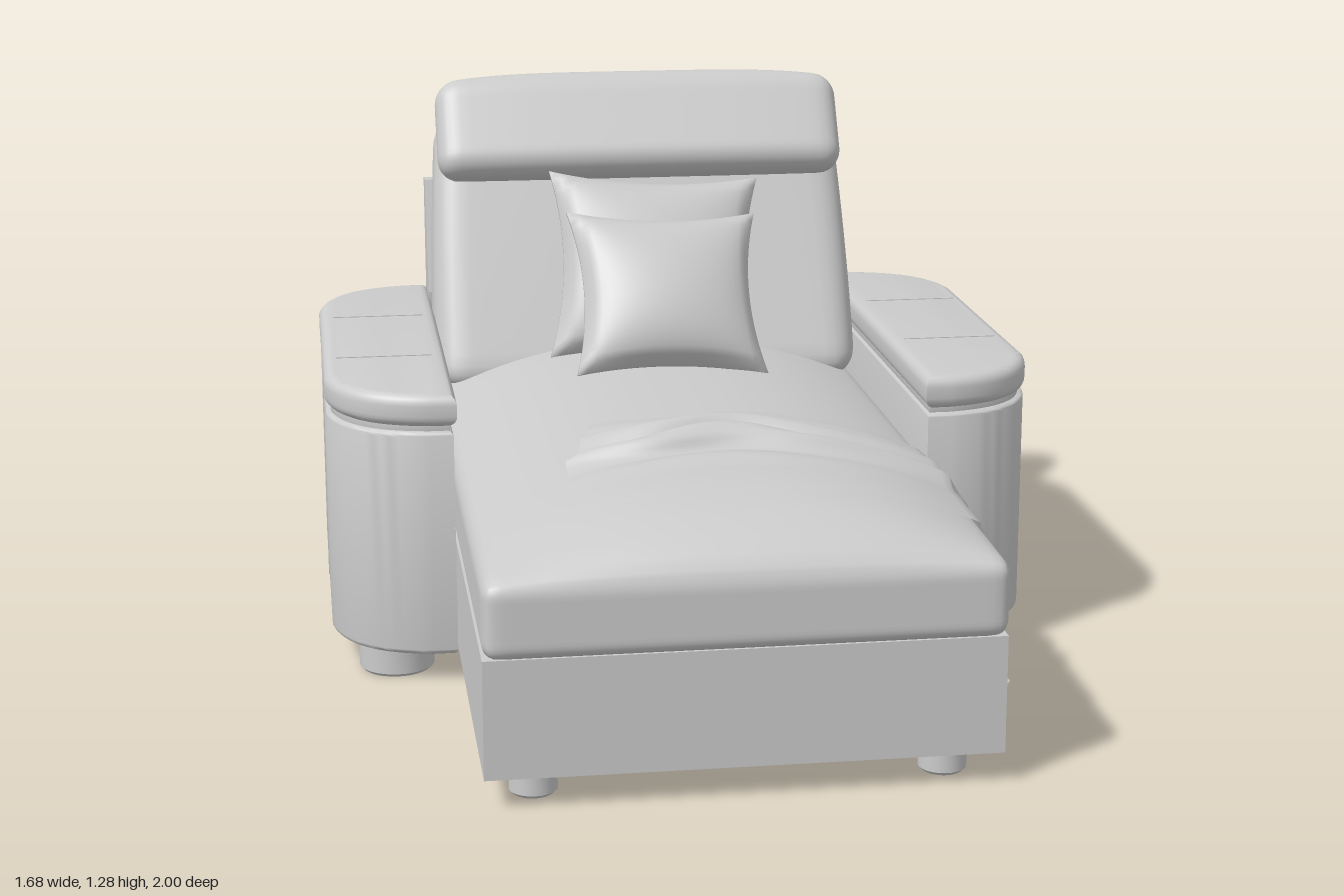
import * as THREE from 'three';
import { mergeVertices, toCreasedNormals } from 'three/addons/utils/BufferGeometryUtils.js';

const mat = new THREE.MeshStandardMaterial({ color: 0xcccccc });
const matTwoSided = new THREE.MeshStandardMaterial({ color: 0xcccccc, side: THREE.DoubleSide });
const { lerp, clamp, smoothstep } = THREE.MathUtils;
const gauss = (x, c, w) => Math.exp(-(((x - c) / w) ** 2));

// Crowned height of the seat cushion's upper face
function seatTop(x, z) {
  const u = Math.min(1, Math.abs(x) / 0.55), v = Math.min(1, Math.abs(z - 0.07) / 0.93);
  return 0.5 + 0.12 * (1 - u ** 2.5) * (1 - v ** 10);
}

function add(parent, name, geo, x = 0, y = 0, z = 0, material = mat) {
  const mesh = new THREE.Mesh(geo, material);
  mesh.name = name;
  mesh.position.set(x, y, z);
  parent.add(mesh);
  return mesh;
}

// Move each vertex by a rule, then weld for smooth normals
function reshape(geo, rule) {
  geo.deleteAttribute('normal');
  geo.deleteAttribute('uv');
  const pos = geo.attributes.position, p = new THREE.Vector3();
  for (let i = 0; i < pos.count; i++) {
    rule(p.fromBufferAttribute(pos, i));
    pos.setXYZ(i, p.x, p.y, p.z);
  }
  const welded = mergeVertices(geo, 1e-5);
  welded.computeVertexNormals();
  return welded;
}

// Soft rounded block, denser towards its edges, with an optional further rule
function cushion(w, h, d, r, warp = () => {}) {
  const half = new THREE.Vector3(w / 2, h / 2, d / 2);
  const inner = half.clone().subScalar(r), core = new THREE.Vector3();
  return reshape(new THREE.BoxGeometry(2, 2, 2, 32, 24, 24), p => {
    for (const a of ['x', 'y', 'z']) p[a] = Math.sin(p[a] * Math.PI / 2) * half[a];
    core.copy(p).clamp(inner.clone().negate(), inner);
    p.sub(core).setLength(r).add(core);
    warp(p);
  });
}

// Square pillow with pinched seams and flared corners
function pillow(w, h, t) {
  return reshape(new THREE.BoxGeometry(2, 2, 2, 24, 24, 1), p => {
    const u = p.x, v = p.y, puff = ((1 - u * u) * (1 - v * v)) ** 0.45;
    p.x = u * w / 2 * (1 - 0.13 * (1 - v * v));
    p.y = v * h / 2 * (1 - 0.11 * (1 - u * u));
    p.z *= 0.004 + puff * t / 2 * (1 - 0.15 * v);
  });
}

// Horizontal slab on side s, with rounded outer corners and bevelled rims
function armSlab(s, x0, x1, z0, z1, r, y0, y1, bevel) {
  x0 += bevel; x1 -= bevel; z0 += bevel; z1 -= bevel; r -= bevel;
  const shape = new THREE.Shape();
  shape.moveTo(s * x0, -z0);
  shape.lineTo(s * (x1 - r), -z0);
  shape.quadraticCurveTo(s * (x1 - r * 0.12), -z0 - r * 0.12, s * x1, -z0 - r);
  shape.lineTo(s * x1, -z1 + r);
  shape.quadraticCurveTo(s * (x1 - r * 0.12), -z1 + r * 0.12, s * (x1 - r), -z1);
  shape.lineTo(s * x0, -z1);
  const geo = new THREE.ExtrudeGeometry(shape, {
    depth: y1 - y0 - 2 * bevel, bevelSize: bevel, bevelThickness: bevel, bevelSegments: 5, curveSegments: 16,
  });
  geo.rotateX(-Math.PI / 2).translate(0, y0 + bevel, 0);
  return toCreasedNormals(geo, 0.7);
}

// Cloth laid across the seat and hung over its side to the floor
function blanketGeometry() {
  const n = 90, m = 90, pts = [], idx = [];
  for (let i = 0; i <= n; i++) {
    for (let j = 0; j <= m; j++) {
      const a = i / n, w = j / m, split = 0.5;
      const h = clamp((a - split) / (1 - split), 0, 1), t = Math.min(1, a / split);
      // Upper part follows the seat, bunched towards the rear half
      const zTop = lerp(0.21 + 0.05 * Math.sin(t * 7) ** 2 * (1 - t), 0.82 - 0.03 * t, w);
      const start = w > 0.52 ? -0.33 : -0.24 - 0.07 * w / 0.52;
      const x = lerp(start, 0.53, t);
      const bunch = gauss(w, 0.36, 0.2);
      const crease = Math.abs(Math.sin(w * 15 + Math.sin(t * 5) * 0.9 + t)) ** 1.5;
      const wrinkle = 0.012 + bunch * crease * (0.022 + 0.035 * gauss(x, 0, 0.2)) + 0.012 * gauss(w, 0.5, 0.03);
      const y0 = seatTop(x, zTop) + wrinkle;
      if (h === 0) { pts.push(x, y0, zTop); continue; }
      // Hanging part flares out in folds, then spreads on the floor
      const fall = Math.min(1, h / 0.9), spread = Math.max(0, h - 0.9) / 0.1;
      const fold = 0.5 + 0.5 * Math.sin(w * 30 + Math.sin(w * 6) * 1.6 + h * 0.6);
      const flare = 0.085 * (1 - w) ** 0.6 * fall ** 1.3 + 0.05 * spread * (1 - w);
      const depth = (0.018 + 0.045 * gauss(w, 0.42, 0.18)) * smoothstep(h, 0, 0.35);
      pts.push(
        0.53 + 0.03 * Math.min(1, h * 8) + flare + depth * fold,
        lerp(y0, 0.012 + 0.012 * fold * (1 - spread), fall),
        zTop + fall * lerp(-0.01, -0.1, w) + 0.02 * Math.sin(w * 30) * w * (1 - w) * fall,
      );
    }
  }
  for (let i = 0; i < n; i++) {
    for (let j = 0; j < m; j++) {
      const k = i * (m + 1) + j, l = k + m + 1;
      idx.push(k, k + 1, l, k + 1, l + 1, l);
    }
  }
  const geo = new THREE.BufferGeometry();
  geo.setAttribute('position', new THREE.Float32BufferAttribute(pts, 3));
  geo.setIndex(idx);
  geo.computeVertexNormals();
  return geo;
}

// Short round foot with softened rims
function foot(r) {
  const p = [[0, 0], [r - 0.008, 0], [r, 0.008], [r, 0.068], [r - 0.005, 0.075], [0, 0.075]];
  return toCreasedNormals(new THREE.LatheGeometry(p.map(q => new THREE.Vector2(...q)), 32), 0.6);
}

export function createModel() {
  const model = new THREE.Group();
  model.name = 'chaiseArmchair';

  // Base and seat
  add(model, 'base', new THREE.BoxGeometry(1.1, 0.26, 1.93), 0, 0.2, 0.01);
  add(model, 'seatCushion', cushion(1.1, 0.17, 1.86, 0.035, p => {
    const t = clamp((p.y + 0.085) / 0.17, 0, 1);
    p.y += (seatTop(p.x, p.z + 0.07) - 0.5) * t * t;
  }), 0, 0.415, 0.07);

  // Upright back panel with a sloping front
  const side = new THREE.Shape([[-1, 0.07], [-0.86, 0.07], [-0.86, 0.7], [-0.945, 0.985], [-0.99, 0.985], [-1, 0.975]]
    .map(q => new THREE.Vector2(...q)));
  const panel = new THREE.ExtrudeGeometry(side, { depth: 1.1, bevelEnabled: false });
  add(model, 'backPanel', panel.rotateY(-Math.PI / 2).translate(0.55, 0, 0));

  // Leaning back cushion, thinner and narrower at the top
  add(model, 'backCushion', cushion(1.1, 0.66, 0.2, 0.075, p => {
    const t = (p.y + 0.33) / 0.66;
    p.z = p.z * lerp(1.4, 0.75, t) + lerp(-0.66, -0.89, t);
    p.x *= lerp(1, 0.95, t * t);
    p.y += 0.02 * t * (1 - (p.x / 0.55) ** 2);
  }), 0, 0.83, 0);

  // Bolster headrest
  const headrest = add(model, 'headrest', cushion(1.05, 0.26, 0.12, 0.055, p => {
    const k = 1 - (p.x / 0.525) ** 4;
    p.y += 0.025 * k * clamp(p.y / 0.13, 0, 1);
    p.z *= 1 + 0.12 * k;
  }), 0, 1.135, -0.785);
  headrest.rotation.x = -0.55;

  // Loose pillows
  const front = add(model, 'frontPillow', pillow(0.48, 0.43, 0.17), 0.015, 0.79, -0.35);
  front.rotation.set(-0.58, 0.08, 0);
  const rear = add(model, 'rearPillow', pillow(0.54, 0.48, 0.18), 0.01, 0.82, -0.535);
  rear.rotation.set(-0.42, 0.06, -0.04);

  add(model, 'blanket', blanketGeometry(), 0, 0, 0, matTwoSided);

  // Arms, their pads, seams and all feet
  for (const s of [1, -1]) {
    const arm = new THREE.Group();
    arm.name = s > 0 ? 'leftArm' : 'rightArm';
    model.add(arm);
    add(arm, 'armBody', armSlab(s, 0.553, 0.838, -0.985, 0.205, 0.23, 0.07, 0.605, 0.012));
    add(arm, 'armGroove', armSlab(s, 0.56, 0.826, -0.97, 0.19, 0.22, 0.59, 0.64, 0.002));
    add(arm, 'armPad', armSlab(s, 0.545, 0.84, -0.998, 0.217, 0.24, 0.618, 0.695, 0.026));
    for (const z of [-0.61, -0.175]) add(arm, 'padSeam', new THREE.BoxGeometry(0.23, 0.004, 0.005), s * 0.693, 0.695, z);
    add(arm, 'sideSeam', new THREE.BoxGeometry(0.004, 0.5, 0.005), s * 0.838, 0.337, -0.385);
    for (const z of [0.065, -0.83]) add(arm, 'armFoot', foot(0.088), s * 0.69, 0, z);
    for (const z of [0.87, -0.86]) add(model, 'baseFoot', foot(0.052), s * 0.44, 0, z);
  }
  return model;
}
